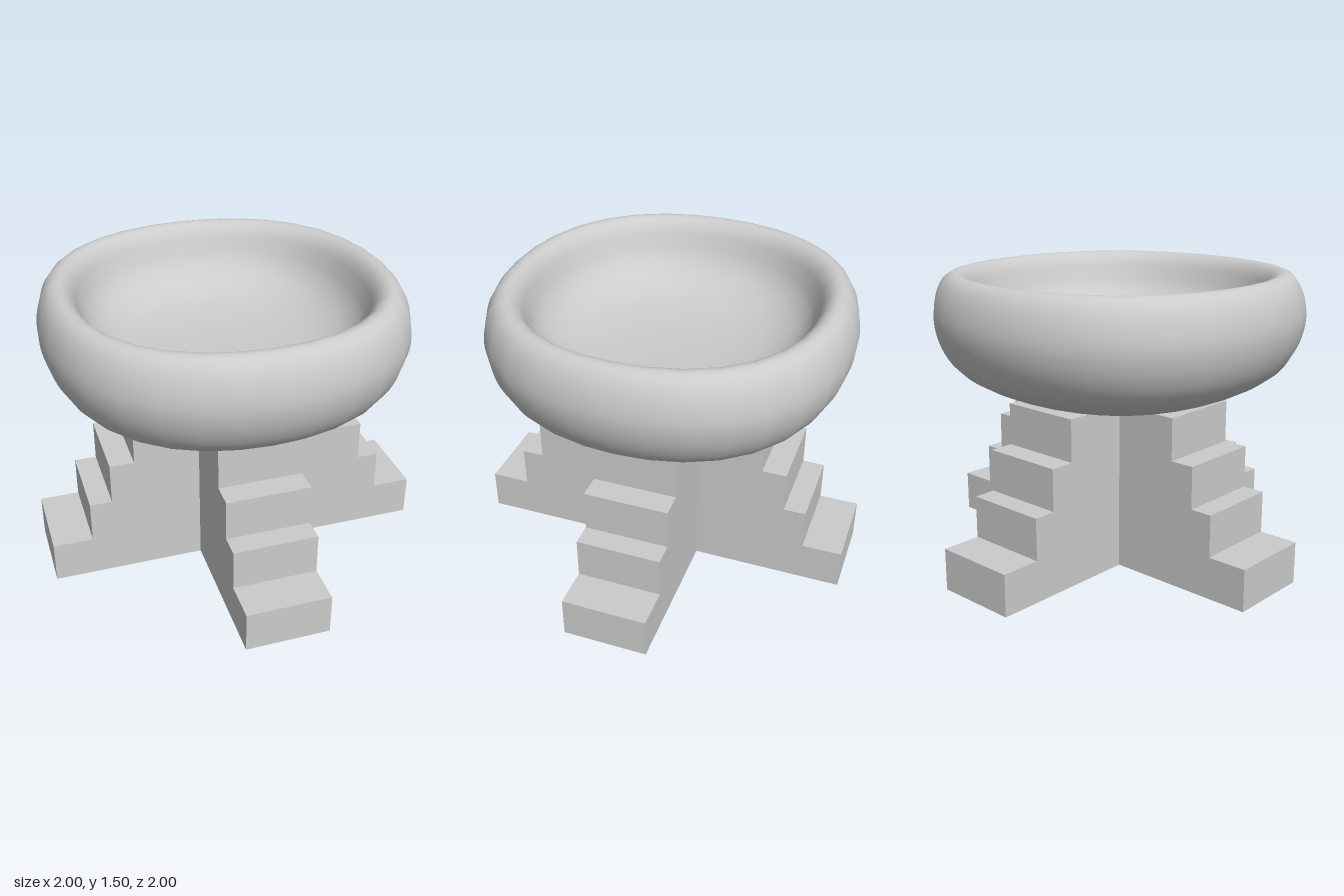
import * as THREE from 'three';
import { mergeVertices } from 'three/addons/utils/BufferGeometryUtils.js';

const WIDTH = 0.434;         // width of each stair arm
const RISE = 0.215;          // height of one step
const REACH = [1.0, 0.796, 0.682, 0.556]; // half length of each step, bottom to top

// Hollow bottom step, open underneath
function openBase() {
  const geo = new THREE.BoxGeometry(REACH[0] * 2, RISE, WIDTH);
  const index = Array.from(geo.index.array);
  index.splice(18, 6); // drop the underside
  geo.setIndex(index);
  geo.clearGroups();
  geo.translate(0, RISE / 2, 0);
  return geo;
}

// Upper steps as one mirrored stair outline
function upperSteps() {
  const right = [];
  for (let i = 1; i < REACH.length; i++) {
    right.push(new THREE.Vector2(REACH[i], i * RISE));
    right.push(new THREE.Vector2(REACH[i], (i + 1) * RISE));
  }
  const left = right.map((p) => new THREE.Vector2(-p.x, p.y)).reverse();
  const geo = new THREE.ExtrudeGeometry(new THREE.Shape([...right, ...left]), {
    depth: WIDTH, bevelEnabled: false,
  });
  geo.translate(0, 0, -WIDTH / 2);
  return geo;
}

// Turned bowl, swollen a little on the diagonals so its plan is a soft square
function softSquareBowl() {
  // outer wall, rounded rim, then sloping inner wall down to the floor
  const outline = [
    [0, 0.822], [0.22, 0.83], [0.43, 0.857], [0.58, 0.895], [0.7, 0.945],
    [0.792, 1.004], [0.85, 1.07], [0.895, 1.165], [0.915, 1.275], [0.899, 1.385],
    [0.862, 1.462], [0.815, 1.494], [0.77, 1.486], [0.733, 1.446], [0.706, 1.381],
    [0.669, 1.303], [0.595, 1.226], [0.46, 1.165], [0.25, 1.133], [0, 1.124],
  ].map(([x, y]) => new THREE.Vector2(x, y));
  const profile = new THREE.SplineCurve(outline).getPoints(60);
  profile.forEach((p) => { p.x = Math.max(p.x, 0); });

  const lathe = new THREE.LatheGeometry(profile, 32);
  const pos = lathe.attributes.position;
  for (let i = 0; i < pos.count; i++) {
    const angle = Math.atan2(pos.getZ(i), pos.getX(i));
    const swell = 1 + 0.018 * (1 - Math.cos(4 * angle));
    pos.setX(i, pos.getX(i) * swell);
    pos.setZ(i, pos.getZ(i) * swell);
  }
  lathe.deleteAttribute('normal');
  lathe.deleteAttribute('uv');
  const geo = mergeVertices(lathe, 1e-5); // weld the seam for smooth normals
  geo.computeVertexNormals();
  return geo;
}

export function createModel() {
  const model = new THREE.Group();
  model.name = 'steppedBowl';
  const solid = new THREE.MeshStandardMaterial({ color: 0xcccccc });
  const thin = new THREE.MeshStandardMaterial({ color: 0xcccccc, side: THREE.DoubleSide });

  // Pedestal: two stepped bars crossing at right angles
  const base = openBase();
  const steps = upperSteps();
  for (let i = 0; i < 2; i++) {
    const bar = new THREE.Group();
    bar.name = i === 0 ? 'sideStairs' : 'frontBackStairs';
    const bottom = new THREE.Mesh(base, thin);
    bottom.name = 'bottomStep';
    const upper = new THREE.Mesh(steps, solid);
    upper.name = 'upperSteps';
    bar.add(bottom, upper);
    bar.rotation.y = i * Math.PI / 2;
    model.add(bar);
  }

  // Bowl
  const bowl = new THREE.Mesh(softSquareBowl(), solid);
  bowl.name = 'bowl';
  bowl.position.x = -0.023;
  model.add(bowl);

  return model;
}
